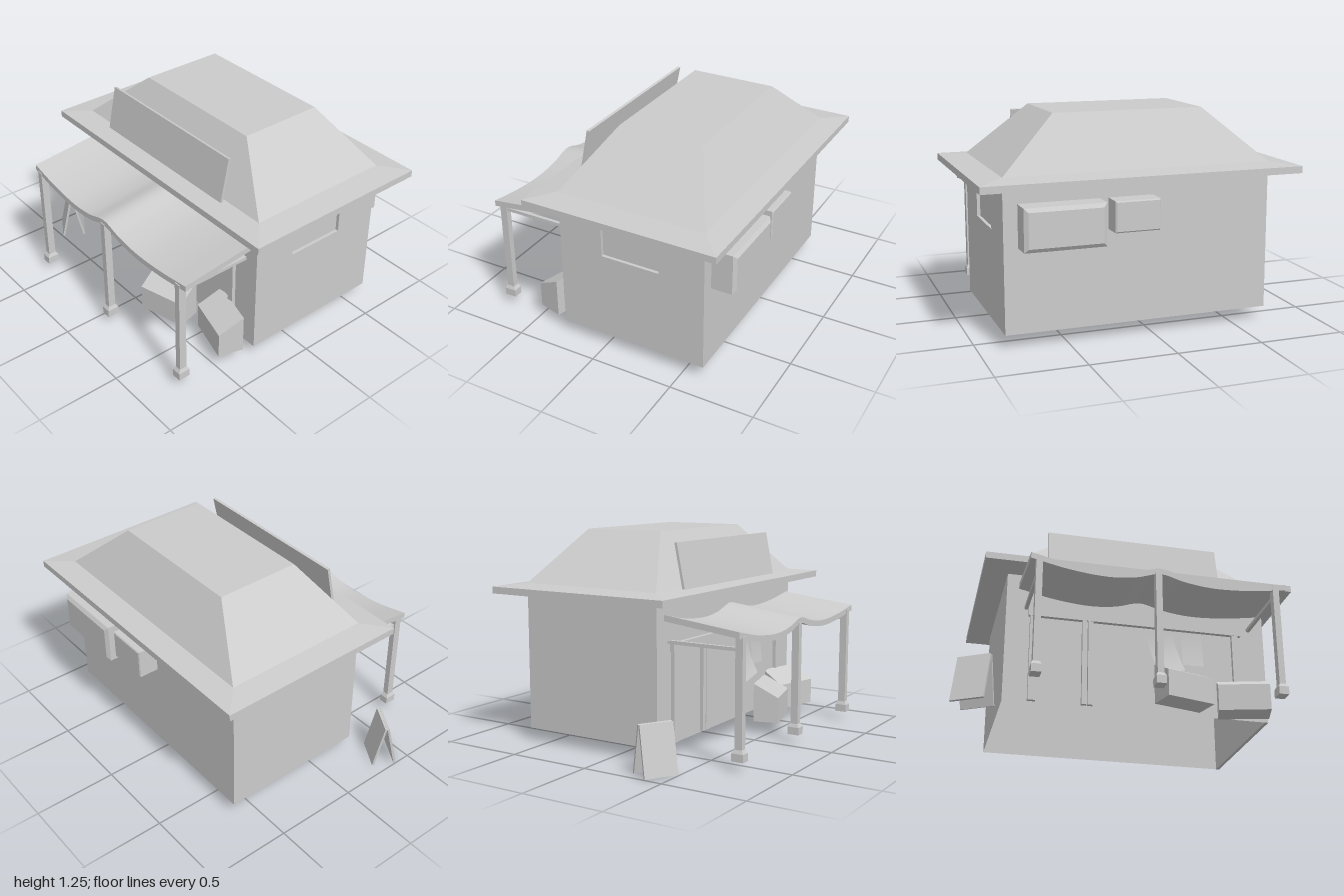
import * as THREE from 'three';
import { toCreasedNormals } from 'three/addons/utils/BufferGeometryUtils.js';

const material = new THREE.MeshStandardMaterial({ color: 0xcccccc, side: THREE.DoubleSide });

function add(parent, name, geometry, x = 0, y = 0, z = 0) {
  const mesh = new THREE.Mesh(geometry, material);
  mesh.name = name;
  mesh.position.set(x, y, z);
  parent.add(mesh);
  return mesh;
}

// box given by its limits
function block(parent, name, x0, x1, y0, y1, z0, z1) {
  return add(parent, name, new THREE.BoxGeometry(x1 - x0, y1 - y0, z1 - z0),
    (x0 + x1) / 2, (y0 + y1) / 2, (z0 + z1) / 2);
}

// stack of rectangles [x0, x1, z0, z1, y] joined from bottom to top, with caps
function loft(levels) {
  const rings = levels.map(([x0, x1, z0, z1, y]) =>
    [[x0, y, z0], [x0, y, z1], [x1, y, z1], [x1, y, z0]]);
  const out = [];
  const quad = (a, b, c, d) => out.push(...a, ...b, ...c, ...a, ...c, ...d);
  for (let k = 0; k + 1 < rings.length; k++) {
    for (let i = 0; i < 4; i++) {
      const j = (i + 1) % 4;
      quad(rings[k][i], rings[k][j], rings[k + 1][j], rings[k + 1][i]);
    }
  }
  quad(...rings[0].slice().reverse());
  quad(...rings[rings.length - 1]);
  const g = new THREE.BufferGeometry();
  g.setAttribute('position', new THREE.Float32BufferAttribute(out, 3));
  g.computeVertexNormals();
  return g;
}

function polygon(points) {
  return new THREE.Shape(points.map(([x, y]) => new THREE.Vector2(x, y)));
}

const X0 = -0.71, X1 = 0.85, Z0 = -0.625, Z1 = 0.28, Y0 = 0.08, Y1 = 0.885;

function buildWalls(root) {
  const walls = new THREE.Group();
  walls.name = 'walls';
  root.add(walls);
  const w = X1 - X0, d = Z1 - Z0, h = Y1 - Y0;
  const cx = (X0 + X1) / 2, cy = (Y0 + Y1) / 2, cz = (Z0 + Z1) / 2;
  add(walls, 'frontWall', new THREE.PlaneGeometry(w, h), cx, cy, Z1);
  add(walls, 'backWall', new THREE.PlaneGeometry(w, h), cx, cy, Z0).rotation.y = Math.PI;
  add(walls, 'rightWall', new THREE.PlaneGeometry(d, h), X0, cy, cz).rotation.y = -Math.PI / 2;
  // left wall with a shallow window recess
  const side = polygon([[-Z1, Y0], [-Z0, Y0], [-Z0, Y1], [-Z1, Y1]]);
  side.holes.push(polygon([[-0.01, 0.61], [-0.01, 0.79], [0.35, 0.79], [0.35, 0.61]]));
  const sideGeometry = new THREE.ExtrudeGeometry(side, { depth: 0.02, bevelEnabled: false });
  add(walls, 'leftWall', sideGeometry, X1 - 0.02).rotation.y = Math.PI / 2;
  add(walls, 'windowPane', new THREE.PlaneGeometry(0.36, 0.18), X1 - 0.019, 0.7, -0.17).rotation.y = Math.PI / 2;
}

function buildAwning(root) {
  const awning = new THREE.Group();
  awning.name = 'awning';
  root.add(awning);
  // wavy sheet, sloping down to the front
  const wave = new THREE.CatmullRomCurve3([[-0.64, 0.82], [-0.43, 0.775], [-0.21, 0.755], [-0.06, 0.77],
    [0.085, 0.808], [0.22, 0.775], [0.385, 0.755], [0.6, 0.765], [0.82, 0.797]]
    .map(([x, y]) => new THREE.Vector3(x, y, 0))).getPoints(40);
  const outline = [...wave.map(p => [p.x, p.y]), ...wave.slice().reverse().map(p => [p.x, p.y - 0.035])];
  const sheet = new THREE.ExtrudeGeometry(polygon(outline), { depth: 0.47, bevelEnabled: false });
  const pos = sheet.attributes.position;
  for (let i = 0; i < pos.count; i++) pos.setY(i, pos.getY(i) - pos.getZ(i) * 0.117);
  add(awning, 'awningSheet', toCreasedNormals(sheet, 0.6), 0, 0, Z1);
  // posts with tapered feet
  for (const [x, top] of [[-0.593, 0.735], [0.072, 0.725], [0.755, 0.72]]) {
    block(awning, 'awningPost', x - 0.018, x + 0.018, 0.1, top, 0.71, 0.755);
    add(awning, 'postFoot', loft([
      [-0.028, 0.028, -0.036, 0.036, 0.06],
      [-0.028, 0.028, -0.036, 0.036, 0.105],
      [-0.019, 0.019, -0.024, 0.024, 0.125]]), x, 0, 0.732);
  }
  for (const x of [-0.593, 0.755]) {
    block(awning, 'awningStrut', x - 0.01, x + 0.01, 0.655, 0.675, 0.265, 0.72);
  }
}

function buildShopFront(root) {
  const front = new THREE.Group();
  front.name = 'shopFront';
  root.add(front);
  block(front, 'lintel', -0.58, 0.7, 0.61, 0.655, 0.275, 0.305);
  for (const [a, b] of [[-0.57, -0.525], [-0.265, -0.236], [-0.23, -0.2], [0.643, 0.68]]) {
    block(front, 'doorPost', a, b, 0.09, 0.61, 0.275, 0.303);
  }
  // curled paper notices
  for (const [x, y, w, h, tilt, curl] of [[0.23, 0.44, 0.16, 0.245, 0.24, 0.05], [0.398, 0.49, 0.125, 0.2, 0, 0.015]]) {
    const g = new THREE.PlaneGeometry(w, h, 1, 8);
    const p = g.attributes.position;
    for (let i = 0; i < p.count; i++) {
      const t = 0.5 - p.getY(i) / h;
      p.setZ(i, curl * t * t);
    }
    g.computeVertexNormals();
    add(front, 'notice', g, x, y, 0.286).rotation.z = tilt;
  }
  // slant-topped crates, turned slightly to either side
  const crate = new THREE.ExtrudeGeometry(
    polygon([[0, 0.08], [0.152, 0.08], [0.152, 0.315], [0, 0.235]]), { depth: 0.295, bevelEnabled: false });
  crate.translate(0, 0, -0.1475).rotateY(Math.PI / 2);
  add(front, 'crate', crate, 0.31, 0, 0.53).rotation.y = 0.27;
  add(front, 'crate', crate, 0.648, 0, 0.452).rotation.y = -0.27;
}

function buildBackUnits(root) {
  // box on the back wall with a chamfered outer face
  const unit = (name, x0, x1, y0, y1, out, c) => add(root, name, loft([
    [x0, x1, y0, y1, 0.62],
    [x0, x1, y0, y1, out - c],
    [x0 + c * 1.4, x1 - c * 1.4, y0 + c * 1.4, y1 - c * 1.4, out]]).rotateX(-Math.PI / 2));
  unit('largeWallUnit', 0.31, 0.77, 0.56, 0.8, 0.765, 0.016);
  unit('smallWallUnit', 0.0, 0.26, 0.625, 0.8, 0.745, 0.005);
}

function buildFoldingBoard(root) {
  const board = new THREE.Group();
  board.name = 'foldingBoard';
  board.position.set(-0.878, 0, 0.383);
  board.rotation.y = -0.53;
  root.add(board);
  for (const s of [1, -1]) {
    const panel = add(board, 'boardPanel', new THREE.BoxGeometry(0.197, 0.285, 0.013), 0, 0.145, s * 0.037);
    panel.rotation.x = -s * 0.215;
  }
}

export function createModel() {
  const root = new THREE.Group();
  root.name = 'shop';
  buildWalls(root);
  // overhanging eaves and hipped roof
  add(root, 'eaves', loft([
    [X0, X1, Z0, Z1, 0.875],
    [-0.855, 1.0, -0.765, 0.415, 0.89],
    [-0.855, 1.0, -0.765, 0.415, 0.93],
    [-0.71, 0.85, -0.627, 0.277, 0.946]]));
  add(root, 'hipRoof', loft([
    [-0.71, 0.85, -0.627, 0.277, 0.945],
    [-0.37, 0.515, -0.435, 0.08, 1.25]]));
  // blank board leaning on the roof
  add(root, 'roofBoard', new THREE.BoxGeometry(1.05, 0.27, 0.016), 0.05, 1.068, 0.276).rotation.x = -0.2;
  buildAwning(root);
  buildShopFront(root);
  buildBackUnits(root);
  buildFoldingBoard(root);
  return root;
}
